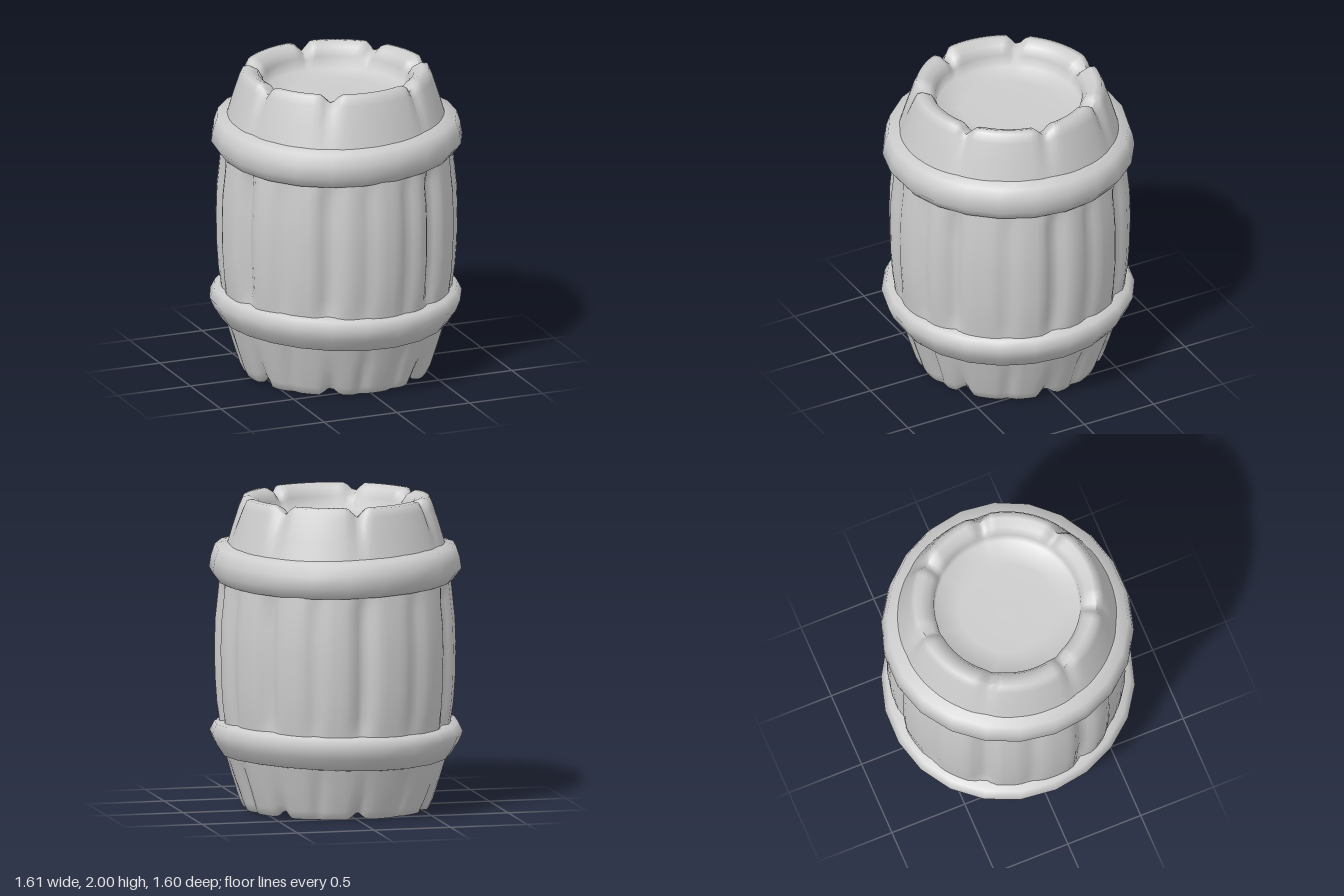
import * as THREE from 'three';

const material = new THREE.MeshStandardMaterial({ color: 0xcccccc });
const rad = Math.PI / 180;
// gaps between the staves, in degrees around the barrel (0 = +x, 90 = front)
const gaps = [5, 57, 116, 162, 214, 270, 319];
const cracks = [29, 75, 97, 140, 190, 242, 294, 345];

// 1 at the listed angle, falling linearly to 0 at the given half width
function groove(deg, list, width) {
  let v = 0;
  for (const g of list) {
    const d = Math.abs(((deg - g + 540) % 360) - 180);
    v = Math.max(v, 1 - d / width);
  }
  return v;
}

// Closed rings swept round y; warp(r, y, degrees, ringIndex) returns the adjusted [r, y]
function ringLoft(name, profile, segs, warp) {
  const pos = [], index = [];
  profile.forEach(([r, y], i) => {
    for (let j = 0; j < segs; j++) {
      const deg = (j * 360) / segs;
      const [wr, wy] = warp(r, y, deg, i);
      pos.push(wr * Math.cos(deg * rad), wy, wr * Math.sin(deg * rad));
    }
  });
  for (let i = 0; i < profile.length - 1; i++) {
    for (let j = 0; j < segs; j++) {
      const k = (j + 1) % segs;
      const a = i * segs + j, b = a + segs, c = i * segs + k, d = c + segs;
      index.push(a, b, c, c, b, d);
    }
  }
  const geo = new THREE.BufferGeometry();
  geo.setAttribute('position', new THREE.Float32BufferAttribute(pos, 3));
  geo.setIndex(index);
  geo.computeVertexNormals();
  const mesh = new THREE.Mesh(geo, material);
  mesh.name = name;
  return mesh;
}

export function createModel() {
  const barrel = new THREE.Group();
  barrel.name = 'barrel';

  // bulging middle with worn stave gaps that fade out towards the hoops
  const middle = [[0.735, 0.48], [0.745, 0.58], [0.76, 0.68], [0.772, 0.85], [0.775, 1.05],
    [0.77, 1.22], [0.755, 1.36], [0.745, 1.46], [0.735, 1.54]];
  barrel.add(ringLoft('staves', middle, 120, (r, y, deg) => {
    const fade = THREE.MathUtils.smoothstep(0.54 - Math.abs(y - 1.01), 0, 0.2);
    const dent = 0.06 * groove(deg, gaps, 7) + 0.028 * groove(deg, cracks, 6);
    return [r - 0.008 - dent * fade + 0.006 * Math.sin(5 * deg * rad), y];
  }));

  // hoops: coarse rings with a slightly uneven edge
  const uneven = (phase) => (r, y, deg) => [
    r + 0.006 * Math.sin(3 * deg * rad + phase),
    y + 0.012 * Math.sin(2 * deg * rad + phase),
  ];
  const upper = [[0.70, 1.46], [0.75, 1.455], [0.802, 1.525], [0.79, 1.6], [0.765, 1.675], [0.66, 1.70]];
  const lower = [[0.66, 0.33], [0.725, 0.345], [0.775, 0.42], [0.805, 0.49], [0.775, 0.55], [0.70, 0.565]];
  barrel.add(ringLoft('upperHoop', upper, 22, uneven(0.6)));
  barrel.add(ringLoft('lowerHoop', lower, 22, uneven(2.4)));

  // tapered end: outer wall, chipped rim, inner wall and sunken lid
  const end = [[0.735, 1.55], [0.698, 1.67], [0.66, 1.8], [0.615, 1.94], [0.59, 1.995],
    [0.55, 2], [0.495, 1.975], [0.465, 1.92], [0.455, 1.84], [0.3, 1.825], [0, 1.83]];
  const ringChip = [0, 0.1, 0.25, 0.7, 1, 1, 0.8, 0.3, 0, 0, 0];
  const crackDepth = [0, 0.01, 0.03, 0.03, 0.02, 0, 0, 0, 0, 0, 0];

  barrel.add(ringLoft('topEnd', end, 120, (r, y, deg, i) => {
    const chip = groove(deg, gaps, 6.5) * ringChip[i];
    const inward = i < 5 ? -0.025 : 0.015;
    return [r + inward * chip, y - 0.06 * chip];
  }));
  // the lower end is the same shape mirrored, with deeper cracks up its wall
  barrel.add(ringLoft('bottomEnd', end.slice().reverse(), 120, (r, y, deg, i) => {
    const k = end.length - 1 - i;
    const chip = groove(deg, gaps, 6.5) * ringChip[k];
    const inward = k < 5 ? -0.03 : 0.015;
    const crack = groove(deg, cracks, 5) * crackDepth[k];
    return [r + inward * chip - crack, 2 - y + 0.05 * chip];
  }));

  return barrel;
}
